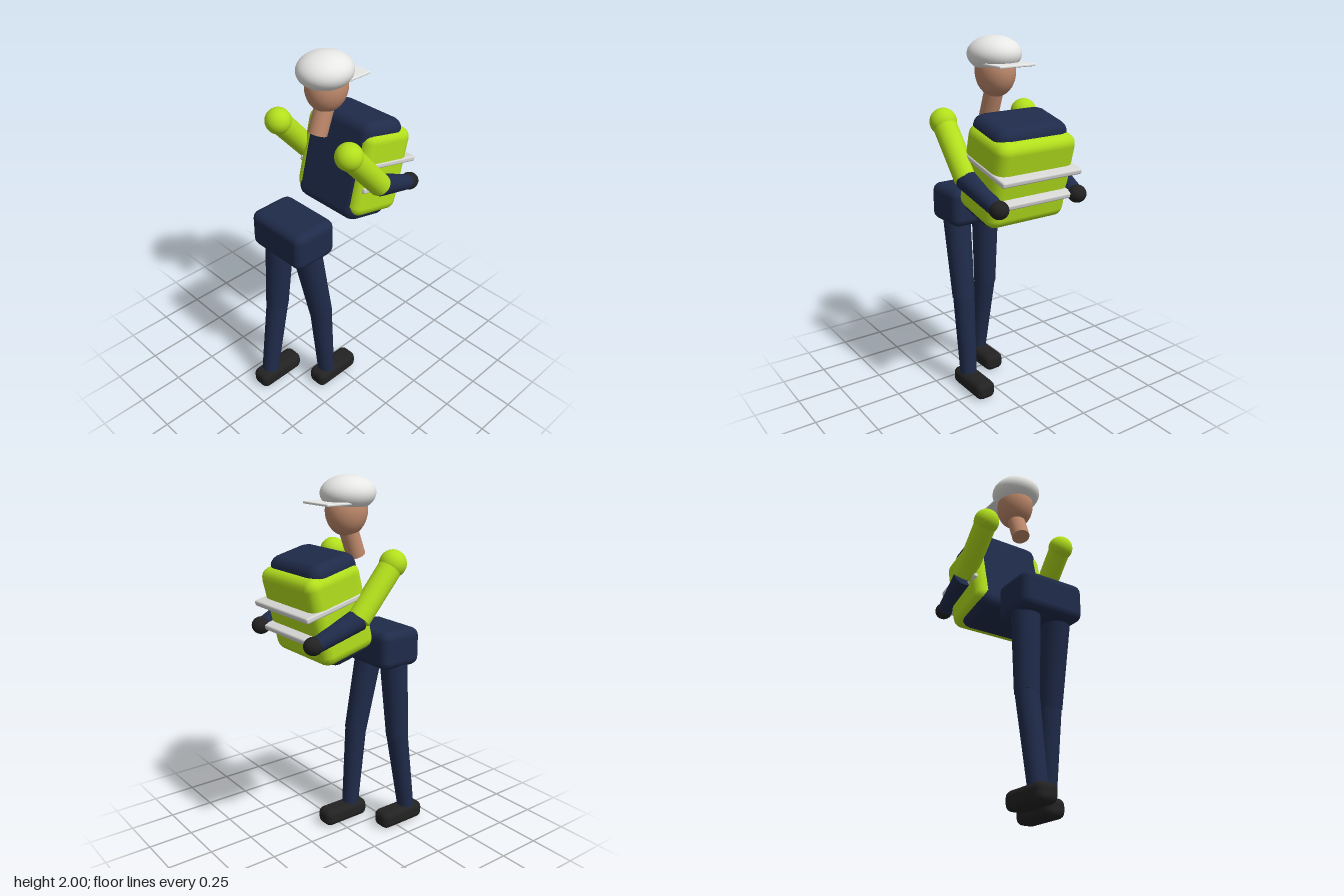
import * as THREE from 'three';
import { RoundedBoxGeometry } from 'three/addons/geometries/RoundedBoxGeometry.js';

const paint = (name, color) => {
  const m = new THREE.MeshStandardMaterial({ color });
  m.name = name;
  return m;
};

export function createModel() {
  const model = new THREE.Group();
  model.name = 'worker';
  const navy = paint('navy cloth', 0x1f2b4a);
  const lime = paint('high visibility lime', 0xb2df1c);
  const white = paint('cap white', 0xe8e8e6);
  const silver = paint('reflective silver', 0xd6d6d4);
  const skin = paint('skin', 0xc08a6c);
  const black = paint('black rubber', 0x222222);

  const add = (name, geometry, material, [x, y, z], parent = model) => {
    const mesh = new THREE.Mesh(geometry, material);
    mesh.name = name;
    mesh.position.set(x, y, z);
    parent.add(mesh);
    return mesh;
  };
  const box = (name, [w, h, d], radius, material, at, parent) =>
    add(name, new RoundedBoxGeometry(w, h, d, 2, radius), material, at, parent);
  const ball = (name, [rx, ry, rz], material, at, theta = Math.PI) =>
    add(name, new THREE.SphereGeometry(1, 32, 20, 0, Math.PI * 2, 0, theta).scale(rx, ry, rz), material, at);
  // Tapered cylinder from a to b
  const limb = (name, a, b, ra, rb, material) => {
    const from = new THREE.Vector3(...a), to = new THREE.Vector3(...b);
    const dir = to.clone().sub(from);
    const mid = from.clone().add(to).multiplyScalar(0.5);
    const mesh = add(name, new THREE.CylinderGeometry(rb, ra, dir.length(), 24), material, mid.toArray());
    mesh.quaternion.setFromUnitVectors(new THREE.Vector3(0, 1, 0), dir.normalize());
    return mesh;
  };

  // Torso, vest and reflective bands share one forward lean
  const upper = new THREE.Group();
  upper.name = 'upperBody';
  upper.position.set(0.17, 1.365, 0);
  upper.rotation.z = -0.24;
  model.add(upper);
  box('torso', [0.28, 0.54, 0.43], 0.06, navy, [0, 0, 0], upper);
  box('vest', [0.325, 0.46, 0.47], 0.055, lime, [0.028, -0.009, 0], upper);
  for (const y of [0.052, -0.077])
    box('reflectiveBand', [0.36, 0.03, 0.48], 0.01, silver, [0.064, y, 0], upper);

  // Hips
  box('pelvis', [0.26, 0.21, 0.37], 0.045, navy, [-0.235, 1.085, 0]);

  // Head, neck and peaked cap
  limb('neck', [-0.057, 1.59, 0], [0.005, 1.76, 0], 0.05, 0.05, skin);
  ball('head', [0.115, 0.13, 0.1], skin, [0.005, 1.825, 0]);
  ball('capCrown', [0.147, 0.09, 0.135], white, [-0.005, 1.91, 0], Math.PI * 0.8);
  box('capPeak', [0.15, 0.013, 0.212], 0.005, white, [0.124, 1.868, 0]);

  // Arms
  for (const [side, s] of [['left', 1], ['right', -1]]) {
    const shoulder = [-0.093, 1.58, s * 0.252], elbow = [0.128, 1.33, s * 0.258];
    const wrist = [0.37, 1.237, s * 0.243];
    ball(side + 'Shoulder', [0.07, 0.07, 0.07], lime, shoulder);
    limb(side + 'UpperArm', shoulder, elbow, 0.062, 0.06, lime);
    limb(side + 'Forearm', elbow, wrist, 0.058, 0.04, navy);
    ball(side + 'Hand', [0.05, 0.046, 0.048], black, [0.385, 1.235, s * 0.24]);
  }

  // Striding legs: hip, knee, ankle and foot centre along x
  for (const [side, s, hip, knee, ankle, foot] of [
    ['left', 1, -0.235, -0.147, -0.107, -0.05],
    ['right', -1, -0.242, -0.27, -0.347, -0.293],
  ]) {
    limb(side + 'Thigh', [hip, 1.03, s * 0.098], [knee, 0.555, s * 0.113], 0.077, 0.063, navy);
    limb(side + 'Shin', [knee, 0.56, s * 0.112], [ankle, 0.09, s * 0.112], 0.061, 0.048, navy);
    box(side + 'Boot', [0.29, 0.1, 0.116], 0.036, black, [foot, 0.05, s * 0.111]);
  }
  return model;
}
